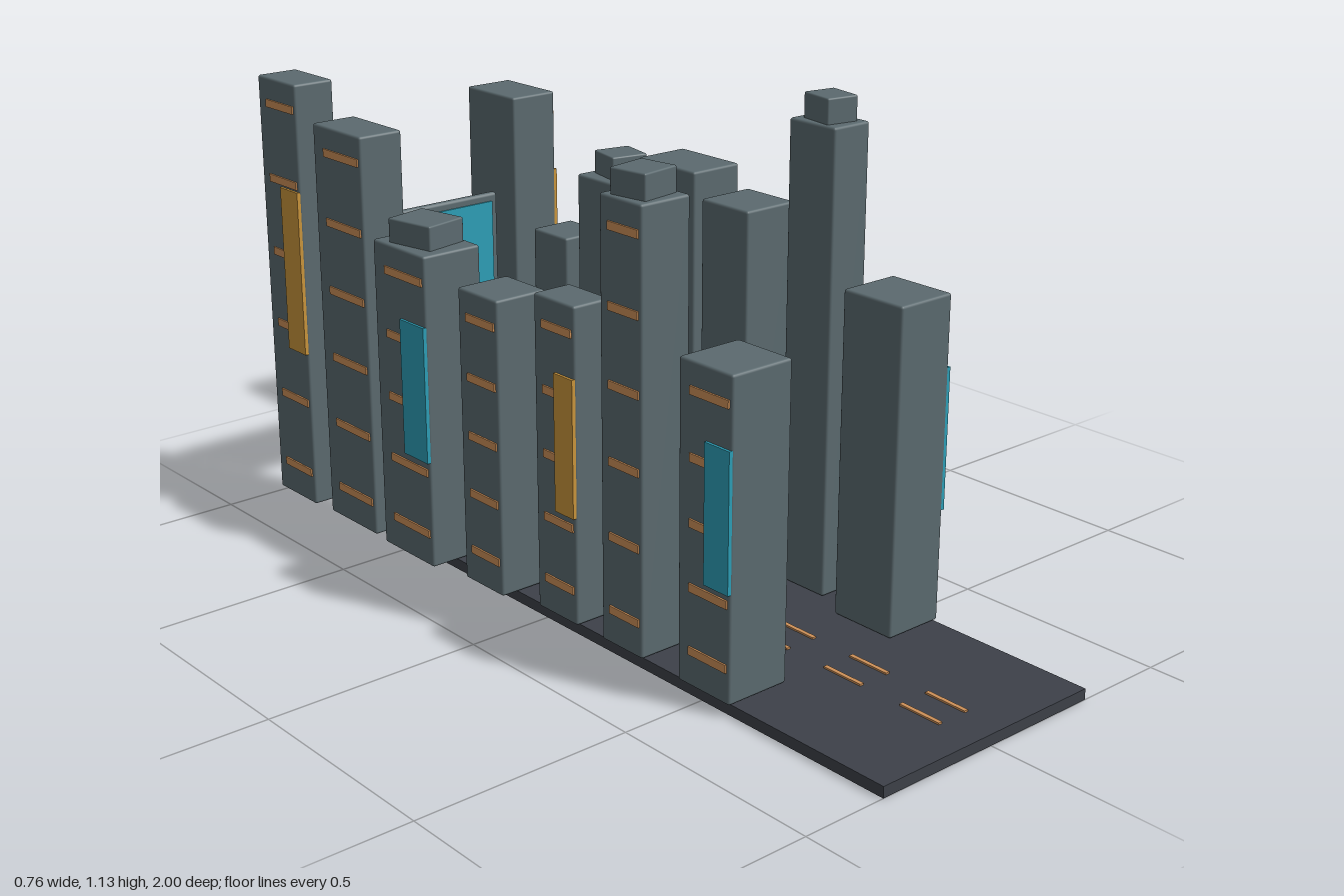
import * as THREE from 'three';
import { RoundedBoxGeometry } from 'three/addons/geometries/RoundedBoxGeometry.js';

const mat = (name, color) => {
  const m = new THREE.MeshStandardMaterial({ color });
  m.name = name;
  return m;
};

export function createModel() {
  const concrete = mat('concrete', 0x5b6a6f);
  const asphalt = mat('asphalt', 0x3d4149);
  const cyan = mat('cyan', 0x2d9fb7);
  const amber = mat('amber', 0xca953c);
  const orange = mat('orange', 0xcd9058);
  const city = new THREE.Group();
  city.name = 'cityStreet';

  // Box from min/max corners; r > 0 gives bevelled edges
  const block = (parent, name, material, [x0, x1], [y0, y1], [z0, z1], r = 0, turn = 0) => {
    const s = [x1 - x0, y1 - y0, z1 - z0];
    const geo = r ? new RoundedBoxGeometry(...s, 2, r) : new THREE.BoxGeometry(...s);
    const mesh = new THREE.Mesh(geo, material);
    mesh.position.set((x0 + x1) / 2, (y0 + y1) / 2, (z0 + z1) / 2);
    mesh.rotation.y = turn;
    mesh.name = name;
    parent.add(mesh);
    return mesh;
  };

  // Road with two rows of lane dashes
  block(city, 'road', asphalt, [-0.3, 0.285], [0, 0.025], [-0.83, 1]);
  for (const x of [-0.045, 0.03]) {
    for (let i = 0; i < 8; i++) {
      const z = 0.857 - i * 0.211;
      block(city, 'laneDash', orange, [x - 0.005, x + 0.005], [0.024, 0.029], [z - 0.052, z + 0.052]);
    }
  }

  // Tower: outer face carries light strips and an optional upright sign
  const base = 0.028;
  const tower = (side, { x, z, h, sign, cap }) => {
    const g = new THREE.Group();
    g.name = side > 0 ? 'leftTower' : 'rightTower';
    block(g, 'towerBody', concrete, x, [base, h], z, 0.006);
    const face = side > 0 ? x[1] : x[0];
    const out = (t) => (side > 0 ? [face - 0.003, face + t] : [face - t, face + 0.003]);
    const depth = z[1] - z[0];

    const count = h > 0.96 ? 6 : 5;
    const step = (h - 0.06 - 0.107) / (count - 1);
    const front = z[1] - 0.008;
    for (let i = 0; i < count; i++) {
      const y = 0.107 + i * step;
      block(g, 'lightStrip', orange, out(0.004), [y - 0.009, y + 0.009], [front - depth * 0.72, front]);
    }
    if (sign) {
      const mid = base + (h - base) * 0.563;
      const half = Math.min(0.197, (h - base) * 0.217);
      block(g, 'uprightSign', sign, out(0.006), [mid - half, mid + half], [z[1] - depth * 0.47, z[1] - 0.001]);
    }
    if (cap) {
      const [cx, cz, w, d, turn] = cap;
      block(g, 'roofBox', concrete, [cx - w / 2, cx + w / 2], [h - 0.005, h + 0.055],
        [cz - d / 2, cz + d / 2], 0.004, turn);
    }
    city.add(g);
  };

  // Left row (+x), front to back
  [
    { x: [0.143, 0.29], z: [0.433, 0.597], h: 0.76, sign: cyan },
    { x: [0.182, 0.284], z: [0.225, 0.358], h: 1.076, cap: [0.234, 0.293, 0.076, 0.086, -0.17] },
    { x: [0.18, 0.32], z: [-0.043, 0.105], h: 0.848, sign: amber },
    { x: [0.195, 0.33], z: [-0.275, -0.085], h: 0.896 },
    { x: [0.205, 0.355], z: [-0.51, -0.37], h: 0.81, sign: cyan, cap: [0.28, -0.44, 0.092, 0.092, -0.2] },
    { x: [0.237, 0.355], z: [-0.725, -0.597], h: 0.625 },
    { x: [0.247, 0.375], z: [-1, -0.812], h: 0.936, sign: amber },
  ].forEach((t) => tower(1, t));

  // Right row (-x), front to back
  [
    { x: [-0.312, -0.156], z: [0.44, 0.593], h: 0.72, sign: cyan },
    { x: [-0.311, -0.184], z: [0.2, 0.328], h: 0.995, cap: [-0.249, 0.262, 0.096, 0.092, 0.16] },
    { x: [-0.314, -0.218], z: [-0.013, 0.12], h: 0.74, sign: amber },
    { x: [-0.347, -0.215], z: [-0.235, -0.098], h: 0.706 },
    { x: [-0.373, -0.222], z: [-0.515, -0.322], h: 0.757, sign: cyan, cap: [-0.295, -0.42, 0.108, 0.125, 0.2] },
    { x: [-0.368, -0.256], z: [-0.75, -0.56], h: 0.977 },
    { x: [-0.376, -0.273], z: [-0.965, -0.808], h: 1.055, sign: amber },
  ].forEach((t) => tower(-1, t));

  // Billboard across the far end of the street
  block(city, 'billboardPanel', concrete, [-0.225, 0.21], [0.394, 0.7], [-0.857, -0.837], 0.008);
  block(city, 'billboardScreen', cyan, [-0.207, 0.192], [0.415, 0.68], [-0.838, -0.833]);

  return city;
}
